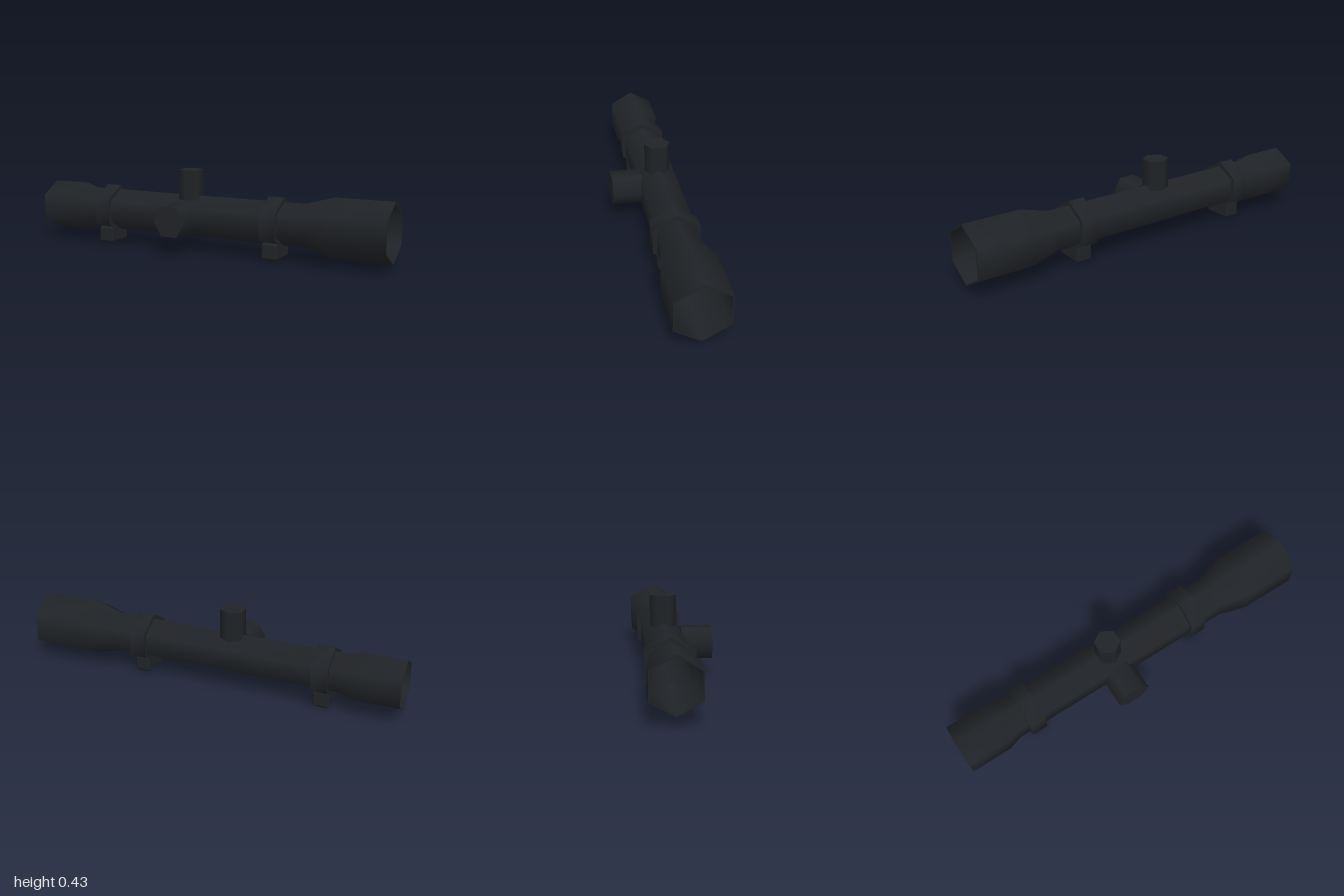
import * as THREE from 'three';
import { toCreasedNormals } from 'three/addons/utils/BufferGeometryUtils.js';

const AXIS_Y = 0.18, AXIS_Z = -0.055;

export function createModel() {
  const group = new THREE.Group();
  const material = new THREE.MeshStandardMaterial({ color: 0x202327 });

  const add = (name, geometry, x, y, z) => {
    const mesh = new THREE.Mesh(geometry, material);
    mesh.name = name;
    mesh.position.set(x, y, z);
    group.add(mesh);
  };

  // Six-sided hollow tube along x, from a closed loop of [radius, x]
  const hexTube = (profile) => {
    const points = [...profile, profile[0]].map(([r, x]) => new THREE.Vector2(r, x));
    const geometry = new THREE.LatheGeometry(points, 6);
    geometry.rotateY(Math.PI / 2).rotateZ(-Math.PI / 2);
    return toCreasedNormals(geometry, 1.2);
  };

  // Main tube: eyepiece, narrow middle and objective bell, open right through
  add('scopeTube', hexTube([
    [0.135, -1], [0.135, -0.78], [0.112, -0.71], [0.112, 0.55], [0.155, 0.7], [0.155, 1],
    [0.147, 1], [0.147, 0.7], [0.102, 0.55], [0.102, -0.71], [0.126, -0.78], [0.126, -1],
  ]), 0, AXIS_Y, AXIS_Z);

  // Adjustment knobs
  add('topKnob', new THREE.CylinderGeometry(0.067, 0.067, 0.158, 6), -0.105, 0.349, AXIS_Z);
  const sideKnob = new THREE.CylinderGeometry(0.0895, 0.0895, 0.157, 6);
  sideKnob.rotateY(Math.PI / 2).rotateX(Math.PI / 2);
  add('sideKnob', sideKnob, -0.103, 0.182, 0.1135);

  // Chamfered mounting block, standing on y = 0
  const chamferedBlock = (w, h, d, c) => {
    const a = w / 2 - c, b = d / 2 - c, k = 0.001;
    const shape = new THREE.Shape([
      [a, -b + k], [a, b - k], [a - k, b], [-a + k, b],
      [-a, b - k], [-a, -b + k], [-a + k, -b], [a - k, -b],
    ].map(([x, y]) => new THREE.Vector2(x, y)));
    const geometry = new THREE.ExtrudeGeometry(shape, {
      depth: h - 2 * c, bevelThickness: c, bevelSize: c, bevelSegments: 1,
    });
    return geometry.rotateX(-Math.PI / 2).translate(0, c, 0);
  };

  // Clamp rings with their mounting feet
  for (const [side, x] of [['right', -0.602], ['left', 0.388]]) {
    add(side + 'ClampRing', hexTube([
      [0.135, -0.043], [0.135, 0.043], [0.108, 0.043], [0.108, -0.043],
    ]), x, AXIS_Y, AXIS_Z);
    add(side + 'MountFoot', chamferedBlock(0.086, 0.092, 0.157, 0.012), x, 0, -0.0435);
  }

  return group;
}
